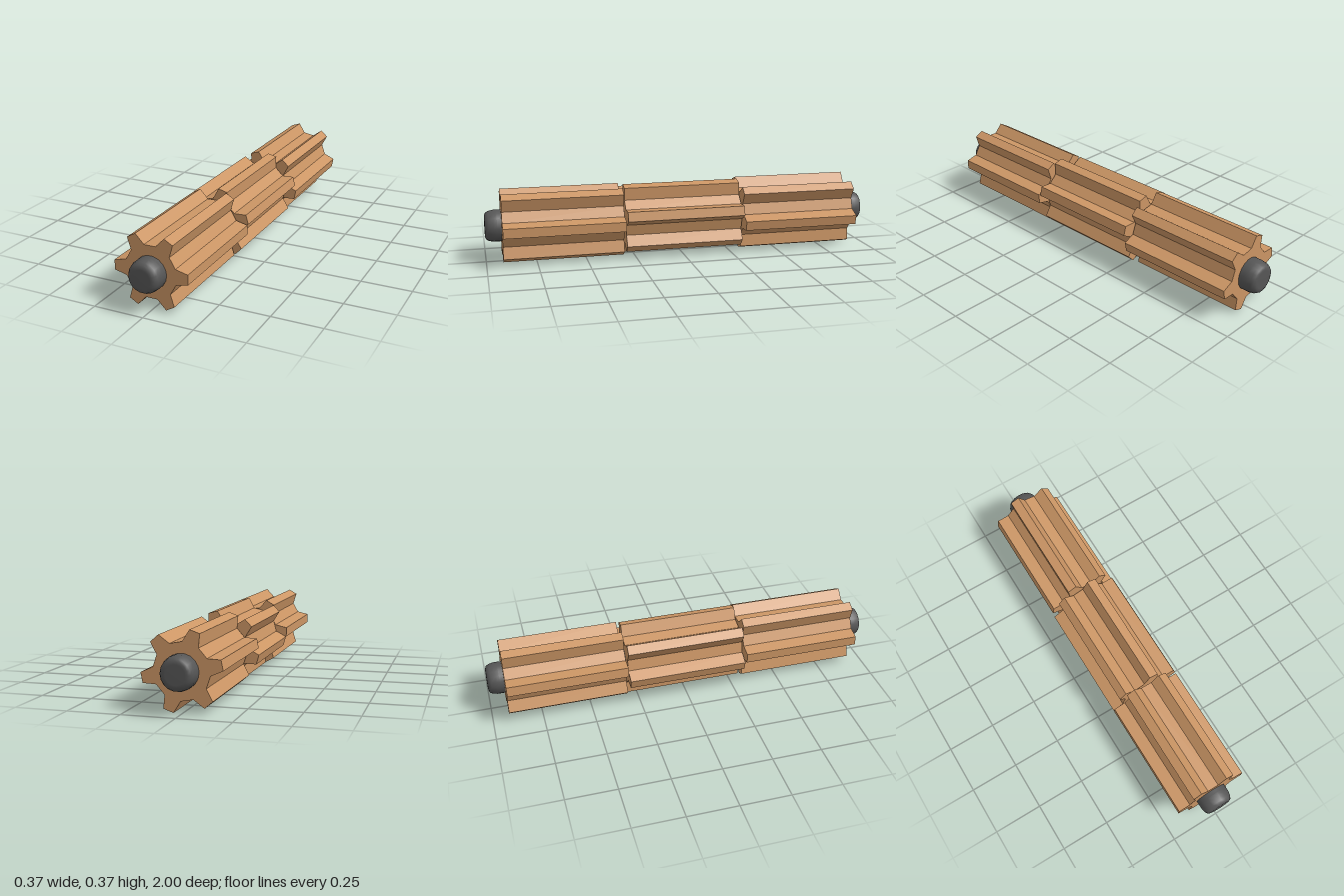
import * as THREE from 'three';

const AXIS_Y = 0.185;
const TEETH = 6;
const TIP_R = 0.1866, TIP_HALF = 7.5;    // tooth tip corner: radius, half angle in degrees
const ROOT_R = 0.1305, ROOT_HALF = 17.2; // tooth root corner
const LENGTH = 0.606, PITCH = 0.615;

// Six-toothed star outline, first tooth pointing along +x
function gearShape() {
  const points = [];
  for (let i = 0; i < TEETH; i++) {
    const corners = [[ROOT_R, -ROOT_HALF], [TIP_R, -TIP_HALF], [TIP_R, TIP_HALF], [ROOT_R, ROOT_HALF]];
    for (const [r, offset] of corners) {
      const a = THREE.MathUtils.degToRad(i * 360 / TEETH + offset);
      points.push(new THREE.Vector2(r * Math.cos(a), r * Math.sin(a)));
    }
  }
  return new THREE.Shape(points);
}

export function createModel() {
  const model = new THREE.Group();
  model.name = 'toothedRoller';

  const wood = new THREE.MeshStandardMaterial({ color: 0xcc9665 });
  wood.name = 'wood';
  const darkMetal = new THREE.MeshStandardMaterial({ color: 0x565656 });
  darkMetal.name = 'darkMetal';

  // Three toothed sections, each turned differently about the axle
  const gear = new THREE.ExtrudeGeometry(gearShape(), { depth: LENGTH, bevelEnabled: false });
  gear.translate(0, 0, -LENGTH / 2);
  const sections = [['frontSection', 1, 0], ['middleSection', 0, 15], ['backSection', -1, -10.9]];
  for (const [name, slot, turn] of sections) {
    const mesh = new THREE.Mesh(gear, wood);
    mesh.name = name;
    mesh.position.set(0, AXIS_Y, slot * PITCH);
    mesh.rotation.z = THREE.MathUtils.degToRad(turn);
    model.add(mesh);
  }

  // Axle with rounded ends, running the whole length
  const end = [[0, 1], [0.045, 1], [0.055, 0.999], [0.067, 0.994], [0.075, 0.981], [0.08, 0.957], [0.08, 0.94]];
  const profile = [
    ...end.map(([r, y]) => new THREE.Vector2(r, -y)),
    ...end.slice().reverse().map(([r, y]) => new THREE.Vector2(r, y)),
  ];
  const axleGeometry = new THREE.LatheGeometry(profile, 18);
  axleGeometry.rotateX(Math.PI / 2);
  axleGeometry.rotateZ(Math.PI / 18);
  const axle = new THREE.Mesh(axleGeometry, darkMetal);
  axle.name = 'axle';
  axle.position.y = AXIS_Y;
  model.add(axle);

  return model;
}
